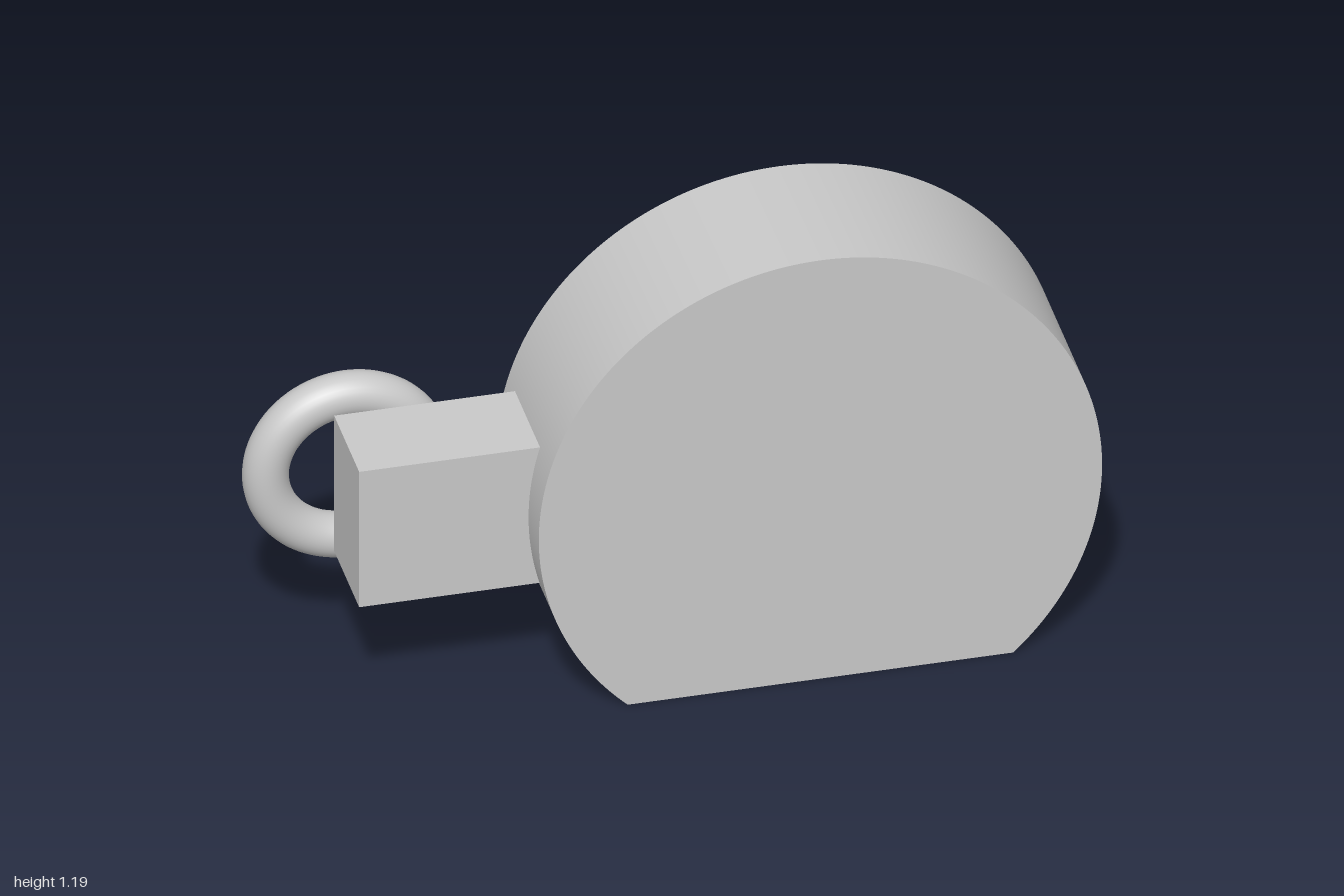
import * as THREE from 'three';
import { toCreasedNormals } from 'three/addons/utils/BufferGeometryUtils.js';

export function createModel() {
  const group = new THREE.Group();
  const grey = new THREE.MeshStandardMaterial({ color: 0xc8c8c8 });
  grey.name = 'light grey';

  const add = (name, geometry, x, y, z) => {
    const mesh = new THREE.Mesh(geometry, grey);
    mesh.name = name;
    mesh.position.set(x, y, z);
    group.add(mesh);
  };

  // Thick disc, cut flat along the bottom so that it stands
  const radius = 0.69, centreY = 0.503;
  const cut = Math.asin(centreY / radius);
  const outline = new THREE.Shape();
  outline.absarc(0, 0, radius, -cut, Math.PI + cut, false);
  outline.closePath();
  const disc = new THREE.ExtrudeGeometry(outline, {
    depth: 0.418, bevelEnabled: false, curveSegments: 96,
  });
  add('discBody', toCreasedNormals(disc, 0.5), 0.31, centreY, -0.175);

  // Block reaching out from the side of the disc
  add('sideBlock', new THREE.BoxGeometry(0.495, 0.386, 0.25), -0.5475, 0.505, 0.0155);

  // Ring behind the outer end of the block
  add('ring', new THREE.TorusGeometry(0.199, 0.056, 32, 96), -0.745, 0.504, -0.188);

  return group;
}
